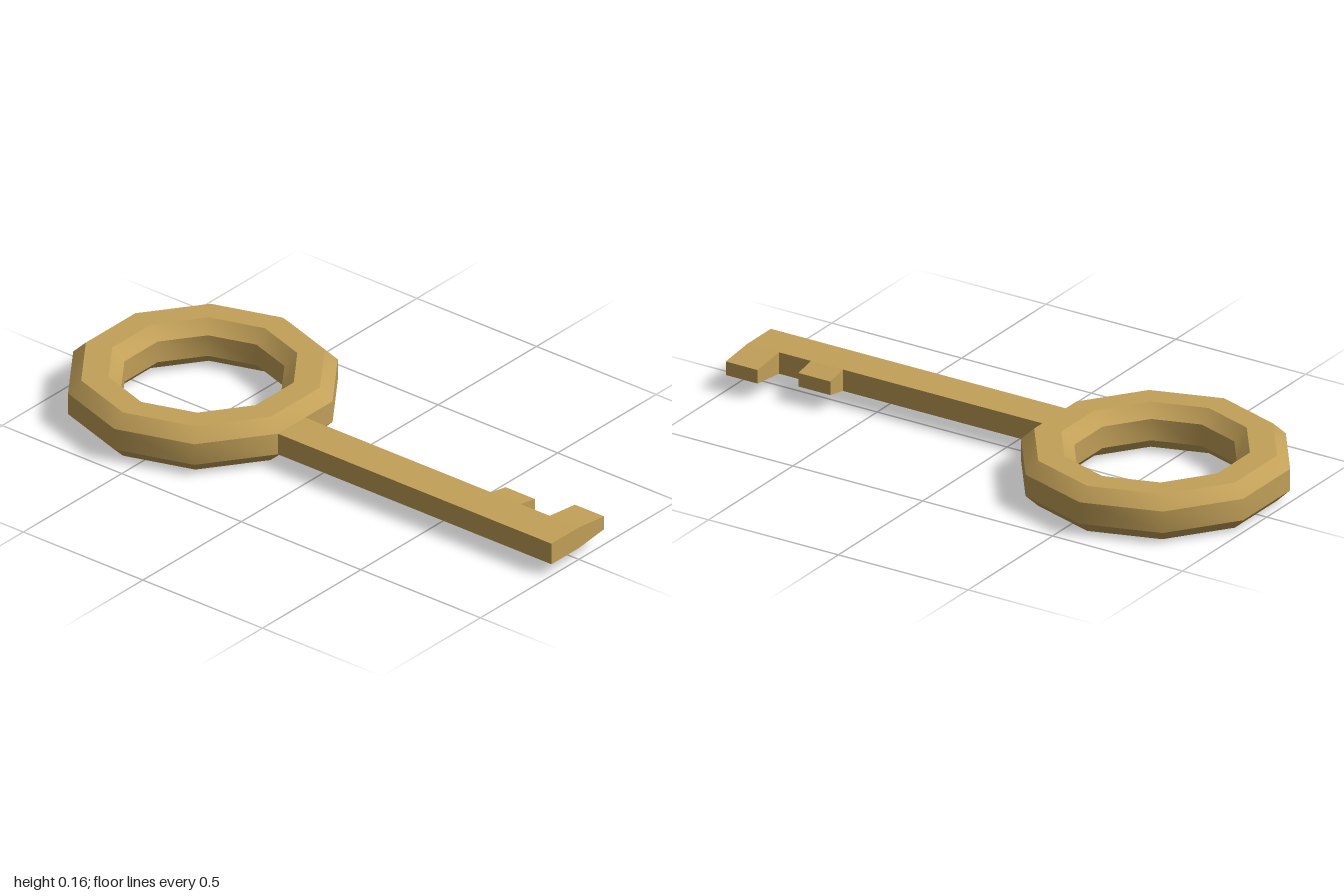
import * as THREE from 'three';
import { toCreasedNormals } from 'three/addons/utils/BufferGeometryUtils.js';

const MID_Y = 0.08;   // centre height of the key
const HALF = 0.038;   // half thickness of the shaft
const RING_X = -0.572;

export function createModel() {
  const key = new THREE.Group();
  key.name = 'key';
  const brass = new THREE.MeshStandardMaterial({ color: 0xc2a058 });
  brass.name = 'brass';

  const add = (name, geometry, x, y, z) => {
    const mesh = new THREE.Mesh(geometry, brass);
    mesh.name = name;
    mesh.position.set(x, y, z);
    key.add(mesh);
  };

  // Ten-sided bow: chamfered octagonal section, soft around the ring, sharp along the chamfers
  const section = [
    [0.315, 0], [0.406, 0], [0.45, 0.042], [0.45, 0.118],
    [0.406, 0.16], [0.315, 0.16], [0.272, 0.118], [0.272, 0.042], [0.315, 0],
  ].map(([r, y]) => new THREE.Vector2(r, y));
  const ring = toCreasedNormals(new THREE.LatheGeometry(section, 10), THREE.MathUtils.degToRad(40));
  add('bowRing', ring, RING_X, 0, 0);

  // Shaft grows from the front half of the ring's right-hand facet
  const x0 = -0.145, x1 = 1, depth = 0.139;
  add('shaft', new THREE.BoxGeometry(x1 - x0, HALF * 2, depth), (x0 + x1) / 2, MID_Y, depth / 2);

  // Teeth thin out towards their tips
  const tooth = (name, from, to, length) => {
    const geometry = new THREE.BoxGeometry(to - from, HALF * 2, length);
    const p = geometry.attributes.position;
    for (let i = 0; i < p.count; i++) {
      if (p.getZ(i) < 0) p.setY(i, Math.sign(p.getY(i)) * 0.024);
    }
    const flat = geometry.toNonIndexed();
    flat.computeVertexNormals();
    add(name, flat, (from + to) / 2, MID_Y, -length / 2);
  };
  tooth('innerTooth', 0.632, 0.755, 0.075);
  tooth('endTooth', 0.878, 1, 0.128);

  return key;
}
